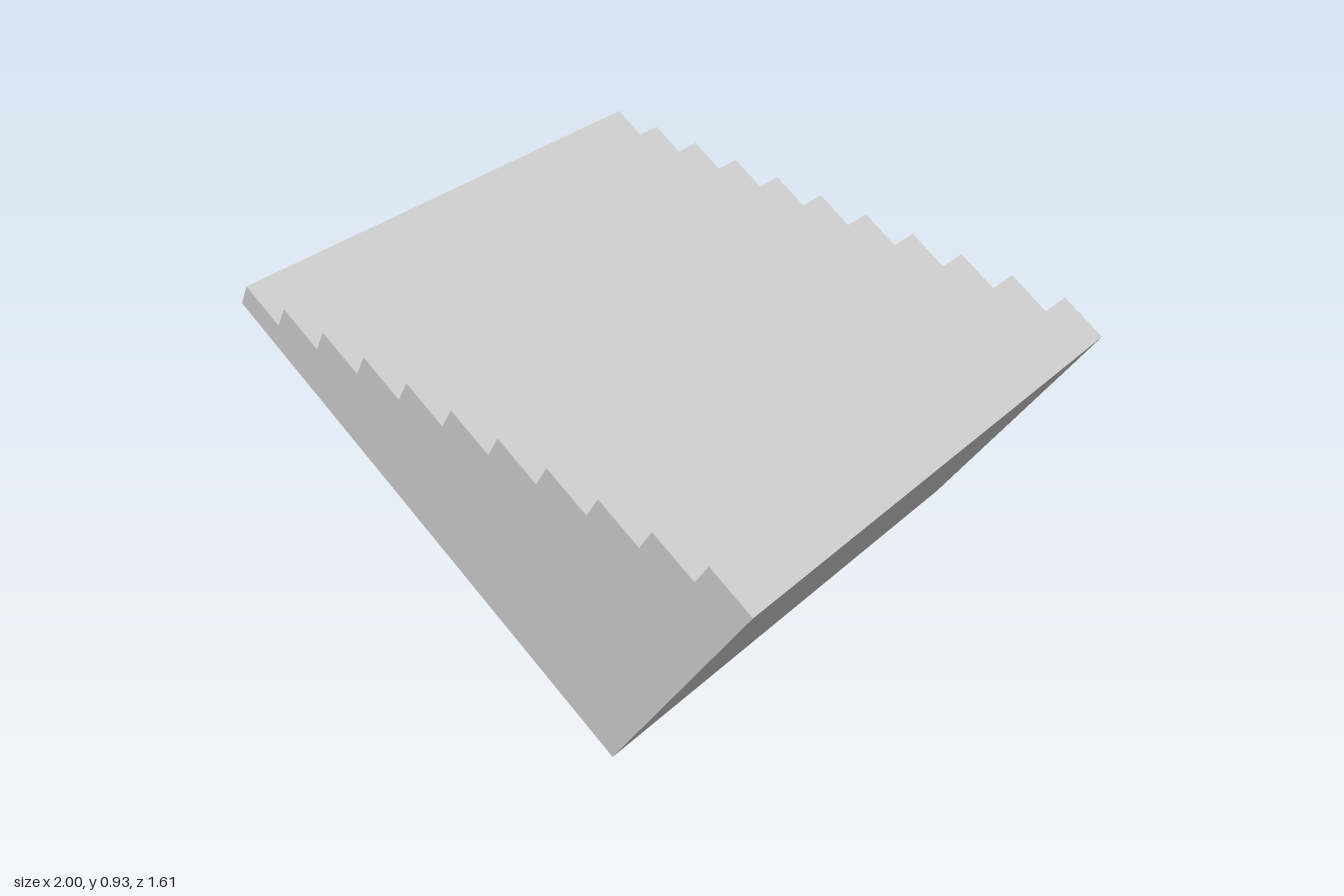
import * as THREE from 'three';

const STEPS = 11;
const DEPTH = 1.585;
const SLOPE = THREE.MathUtils.degToRad(29.5); // the whole flight is tipped so its steps lie level
const TREAD = 0.1573;
const RISER = 0.0873;

export function createModel() {
  const group = new THREE.Group();
  const c = Math.cos(SLOPE), s = Math.sin(SLOPE);

  // Point measured along the base and up the risers, tipped by the slope
  const tip = (along, up) => new THREE.Vector2(
    -0.99 + along * c + up * s,
    STEPS * TREAD * s - along * s + up * c
  );

  // Side profile: base, tall back wall, then down the steps
  const points = [tip(0, 0), tip(STEPS * TREAD, 0)];
  for (let i = STEPS; i > 0; i--) {
    points.push(tip(i * TREAD, i * RISER), tip((i - 1) * TREAD, i * RISER));
  }

  const geometry = new THREE.ExtrudeGeometry(new THREE.Shape(points), {
    depth: DEPTH, bevelEnabled: false, curveSegments: 1
  });
  geometry.translate(0, 0, -DEPTH / 2);

  const stairs = new THREE.Mesh(
    geometry,
    new THREE.MeshStandardMaterial({ color: 0xcccccc, flatShading: true })
  );
  stairs.name = 'staircase';
  stairs.rotation.y = -0.0126; // slight turn about the vertical
  group.add(stairs);
  return group;
}
